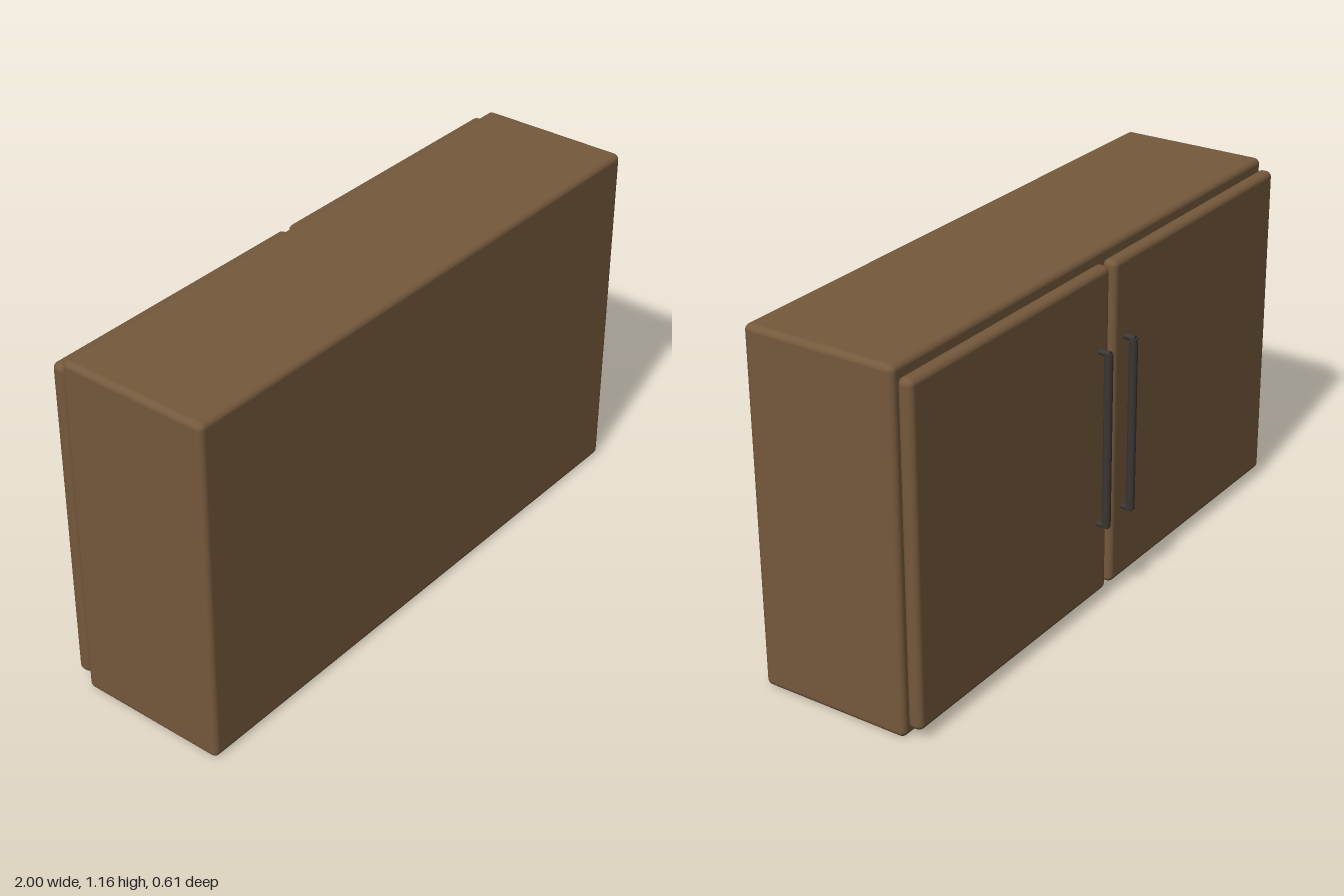
import * as THREE from 'three';
import { RoundedBoxGeometry } from 'three/addons/geometries/RoundedBoxGeometry.js';

export function createModel() {
  const model = new THREE.Group();
  model.name = 'wallCabinet';
  const wood = new THREE.MeshStandardMaterial({ color: 0x75593c });
  const metal = new THREE.MeshStandardMaterial({ color: 0x3a3632 });

  function add(name, geometry, material, x, y, z, parent = model) {
    const mesh = new THREE.Mesh(geometry, material);
    mesh.name = name;
    mesh.position.set(x, y, z);
    parent.add(mesh);
    return mesh;
  }

  // Carcass with softened edges
  add('cabinetBody', new RoundedBoxGeometry(2, 1.165, 0.513, 4, 0.02), wood, 0, 0.5825, 0.05);

  // Mirrored doors, each with a bar handle beside the centre gap
  for (const [label, side] of [['left', 1], ['right', -1]]) {
    add(label + 'Door', new RoundedBoxGeometry(0.977, 1.098, 0.05, 4, 0.02), wood,
      side * 0.5, 0.584, -0.234);

    const handle = new THREE.Group();
    handle.name = label + 'Handle';
    handle.position.set(side * 0.07, 0.585, 0);
    model.add(handle);
    add('handleBar', new THREE.CylinderGeometry(0.014, 0.014, 0.585, 16), metal, 0, 0, -0.292, handle);
    for (const end of [-1, 1]) {
      const post = add('handlePost', new THREE.CylinderGeometry(0.0095, 0.0095, 0.05, 16), metal,
        0, end * 0.291, -0.274, handle);
      post.rotation.x = Math.PI / 2;
    }
  }
  return model;
}
